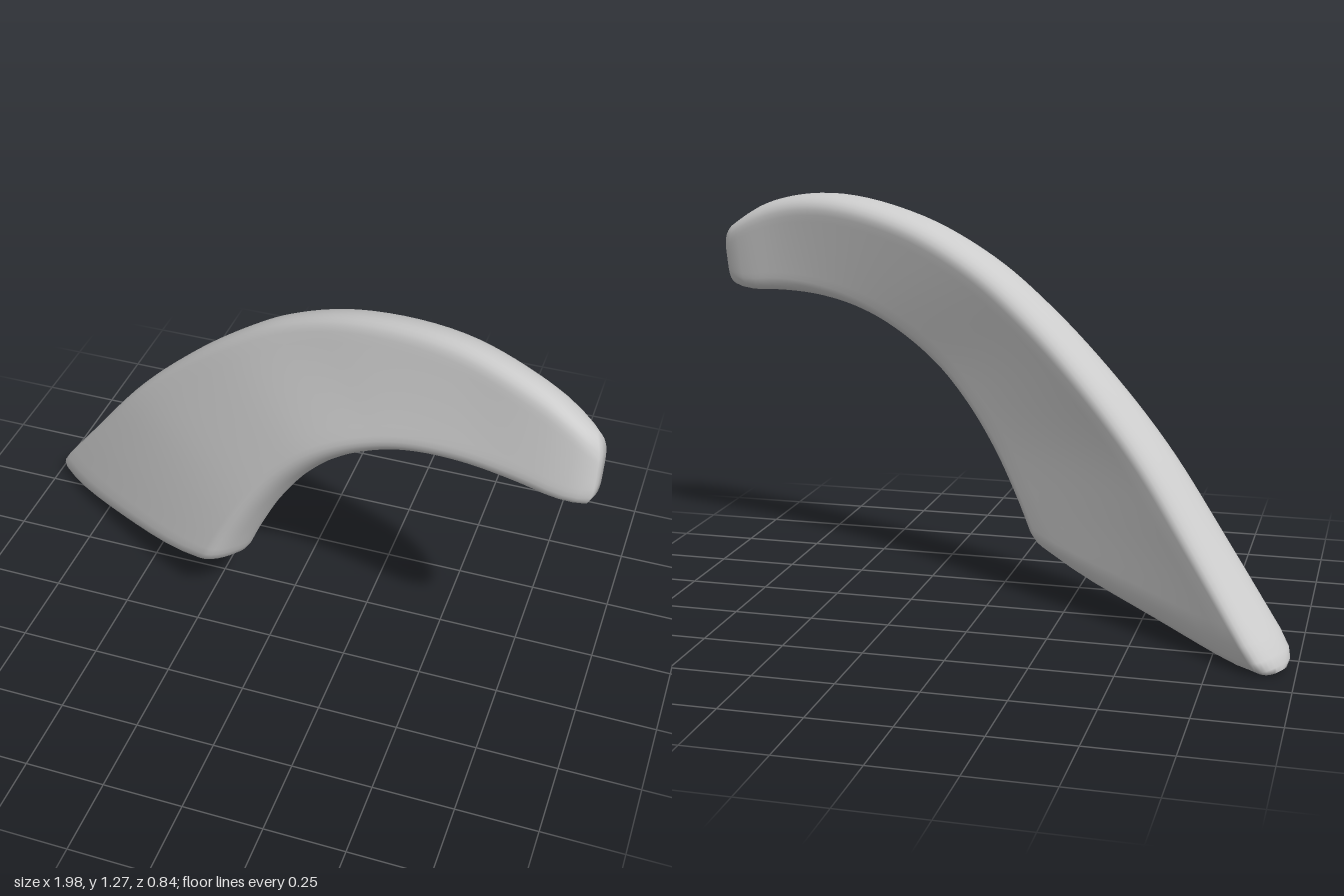
import * as THREE from 'three';

// Outer and inner edge lines of the curved blade, from the broad foot to the blunt tip
const OUTER = [
  [-0.975, 0.05, -0.385], [-0.755, 0.355, -0.265], [-0.575, 0.6, -0.18], [-0.385, 0.81, -0.108],
  [-0.19, 0.99, -0.04], [0, 1.13, 0.02], [0.25, 1.245, 0.105], [0.55, 1.3, 0.21],
  [0.78, 1.273, 0.297], [0.945, 1.205, 0.345],
];
const INNER = [
  [-0.155, 0.245, 0.16], [-0.09, 0.39, 0.165], [-0.015, 0.53, 0.175], [0.075, 0.66, 0.19],
  [0.19, 0.78, 0.215], [0.33, 0.875, 0.245], [0.46, 0.93, 0.275], [0.62, 0.962, 0.315],
  [0.78, 0.967, 0.355], [0.94, 0.955, 0.395],
];
const curve = (pts) => new THREE.CatmullRomCurve3(pts.map((p) => new THREE.Vector3(...p)));

// Rounded cross-section: f runs from outer (-1) to inner (+1) edge, inset is the
// distance pulled back from that edge, v is the thickness from -1 to 1
function sectionPoints() {
  const pts = [];
  const R = 0.055, ARC = 12, FLAT = 10;
  for (const side of [1, -1]) {
    for (let i = 0; i <= ARC; i++) {
      const a = -Math.PI / 2 + (Math.PI * i) / ARC;
      const round = Math.pow(Math.max(0, Math.cos(a)), 0.85);
      const v = Math.sign(Math.sin(a)) * Math.pow(Math.abs(Math.sin(a)), 0.85);
      pts.push({ f: side, inset: R * (1 - round), v: v * side });
    }
    for (let i = 1; i < FLAT; i++) {
      const f = side * (1 - (2 * i) / FLAT);
      pts.push({ f, inset: R * Math.abs(f), v: side });
    }
  }
  return pts;
}

function bladeGeometry() {
  const outer = curve(OUTER), inner = curve(INNER), section = sectionPoints();
  // Stations: position along the blade, thickness factor, narrowing at the rounded ends
  const stations = [[0, 0, 0.03], [0, 0.55, 0.03], [0.005, 0.78, 0.015], [0.014, 0.93, 0.004]];
  const N = 50;
  for (let i = 0; i <= N; i++) stations.push([0.03 + (0.91 * i) / N, 1, 0]);
  stations.push([0.965, 0.94, 0.004], [0.985, 0.8, 0.012], [1, 0.5, 0.022], [1, 0, 0.022]);

  const pos = [], idx = [];
  const mid = (t) => outer.getPoint(t).add(inner.getPoint(t)).multiplyScalar(0.5);
  for (const [t, h, narrow] of stations) {
    const o = outer.getPoint(t), c = mid(t);
    const across = inner.getPoint(t).sub(o);
    const half = across.length() / 2;
    across.normalize();
    const along = mid(Math.min(1, t + 0.04)).sub(mid(Math.max(0, t - 0.04))).normalize();
    const normal = across.clone().cross(along).normalize();
    const thick = THREE.MathUtils.lerp(0.088, 0.052, t) * h;
    // Both end faces swell outward, and the foot is slightly cambered to the front
    const swell = -0.07 * Math.max(0, 1 - t / 0.15) + 0.052 * Math.max(0, 1 - (1 - t) / 0.11);
    const camber = 0.018 * Math.max(0, 1 - t / 0.6);
    for (const { f, inset, v } of section) {
      const u = f * (half - narrow) - Math.sign(f) * inset;
      const s = u / half;
      const p = c.clone().addScaledVector(across, u)
        .addScaledVector(normal, v * thick + camber * (1 - s * s))
        .addScaledVector(along, swell * (1 - s ** 4));
      pos.push(p.x, p.y, p.z);
    }
  }
  const M = section.length;
  for (let j = 0; j < stations.length - 1; j++) {
    for (let i = 0; i < M; i++) {
      const a = j * M + i, b = j * M + ((i + 1) % M);
      idx.push(a, a + M, b, b, a + M, b + M);
    }
  }
  const g = new THREE.BufferGeometry();
  g.setAttribute('position', new THREE.Float32BufferAttribute(pos, 3));
  g.setIndex(idx);
  g.computeVertexNormals();
  return g;
}

export function createModel() {
  const group = new THREE.Group();
  group.name = 'curvedBlade';
  const blade = new THREE.Mesh(bladeGeometry(), new THREE.MeshStandardMaterial({ color: 0xcccccc }));
  blade.name = 'blade';
  group.add(blade);
  return group;
}
